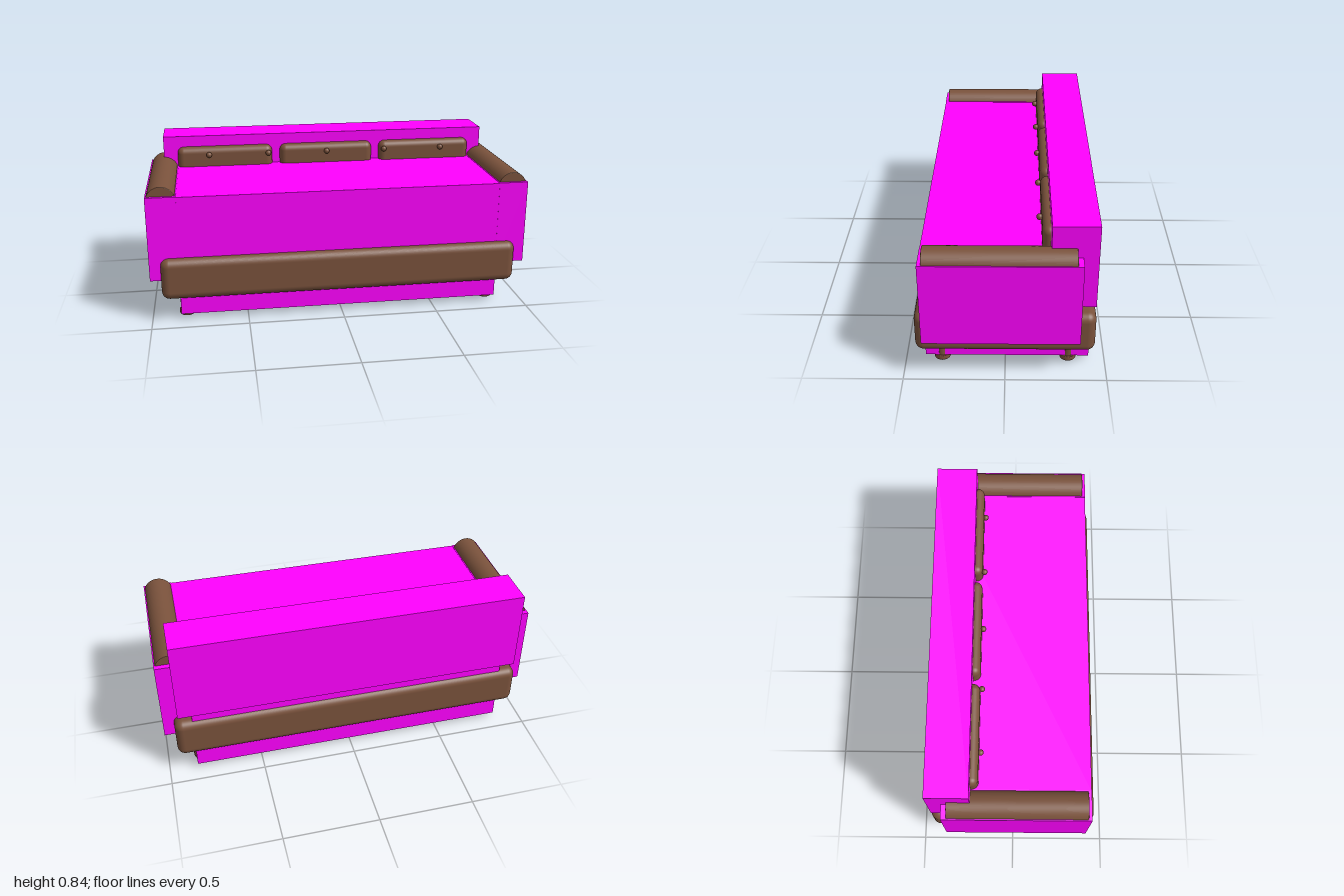
import * as THREE from 'three';
import { RoundedBoxGeometry } from 'three/addons/geometries/RoundedBoxGeometry.js';

export function createModel() {
  const model = new THREE.Group();
  model.name = 'sofa';
  const panel = new THREE.MeshStandardMaterial({ color: 0xff00ff });
  const leather = new THREE.MeshStandardMaterial({ color: 0x7a523c });

  function add(name, geometry, material, x = 0, y = 0, z = 0) {
    const mesh = new THREE.Mesh(geometry, material);
    mesh.name = name;
    mesh.position.set(x, y, z);
    model.add(mesh);
    return mesh;
  }
  // Boxes given by their [min, max] extents; a radius rounds the edges
  function box(name, material, [x0, x1], [y0, y1], [z0, z1], radius = 0) {
    const size = [x1 - x0, y1 - y0, z1 - z0];
    const geometry = radius
      ? new RoundedBoxGeometry(...size, 5, radius)
      : new THREE.BoxGeometry(...size);
    return add(name, geometry, material, (x0 + x1) / 2, (y0 + y1) / 2, (z0 + z1) / 2);
  }

  // Main block, backrest block and the padded band round the base
  box('seatBlock', panel, [-0.85, 0.85], [0.03, 0.67], [-0.418, 0.4]);
  box('backrest', panel, [-0.922, 0.922], [0.392, 0.838], [-0.436, -0.214]);
  box('baseBand', leather, [-0.943, 0.943], [0.124, 0.345], [-0.441, 0.441], 0.042);

  // Back cushions with their buttons
  for (const x of [-0.578, 0, 0.578]) {
    box('backCushion', leather, [x - 0.267, x + 0.267], [0.45, 0.778], [-0.34, -0.174], 0.035);
  }
  for (const x of [-0.67, -0.335, 0, 0.335, 0.67]) {
    add('cushionButton', new THREE.SphereGeometry(0.016, 16, 12), leather, x, 0.738, -0.164);
  }

  // Arm roll: a half-round bolster extruded along z with softened ends
  const arch = new THREE.Shape();
  arch.absarc(0, 0, 0.073, 0, Math.PI);
  arch.closePath();
  const rollGeometry = new THREE.ExtrudeGeometry(arch, {
    depth: 0.709, bevelThickness: 0.004, bevelSize: 0.003, bevelSegments: 2, curveSegments: 24,
  });

  for (const side of [-1, 1]) {
    const span = (a, b) => [Math.min(side * a, side * b), Math.max(side * a, side * b)];
    box('armPanel', panel, span(0.845, 1), [0.225, 0.672], [-0.362, 0.401]);
    box('armCore', leather, span(0.86, 0.985), [0.22, 0.66], [-0.355, 0.39], 0.03);
    add('armRoll', rollGeometry, leather, side * 0.922, 0.646, -0.33);

    // Legs: slim stem on a wider foot
    for (const z of [0.318, -0.316]) {
      add('legStem', new THREE.CylinderGeometry(0.025, 0.025, 0.11, 24), leather, side * 0.83, 0.08, z);
      const foot = new THREE.LatheGeometry([
        [0, 0], [0.037, 0], [0.041, 0.004], [0.041, 0.025], [0.038, 0.029], [0, 0.029],
      ].map(([r, y]) => new THREE.Vector2(r, y)), 24);
      add('legFoot', foot, leather, side * 0.82, 0, z);
    }
  }
  return model;
}
